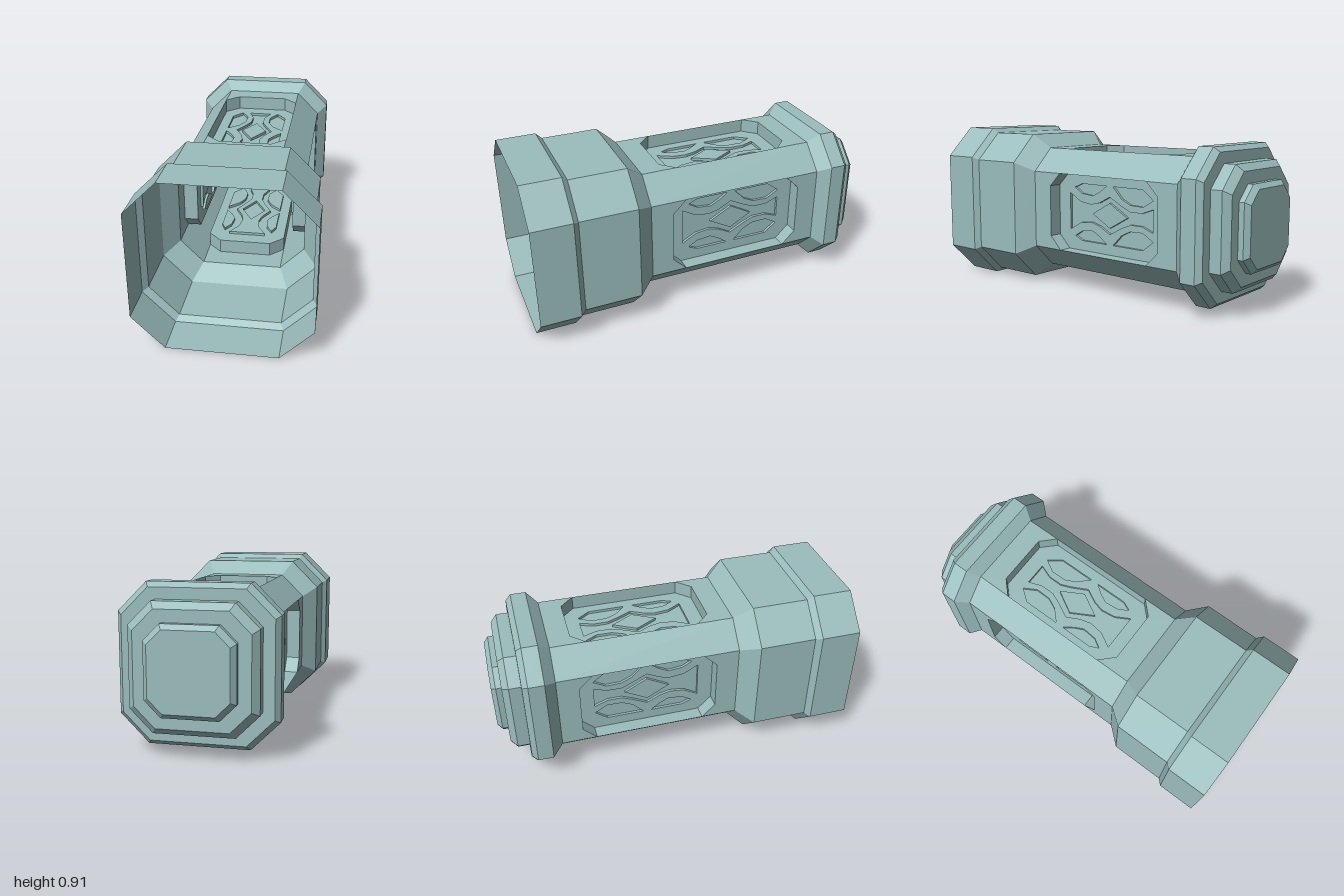
import * as THREE from 'three';

const CY = 0.455; // height of the long axis
const jade = new THREE.MeshStandardMaterial({ color: 0x9bbdbd, side: THREE.DoubleSide, flatShading: true });
jade.name = 'jade grey';

// Octagon corners: h = half size, f = half length of the straight sides
const octagon = (h, f) => [[f, h], [-f, h], [-h, f], [-h, -f], [-f, -h], [f, -h], [h, -f], [h, f]];

function quads(list) {
  const pos = [];
  for (const [a, b, c, d] of list) pos.push(...a, ...b, ...c, ...a, ...c, ...d);
  const g = new THREE.BufferGeometry();
  g.setAttribute('position', new THREE.Float32BufferAttribute(pos, 3));
  g.computeVertexNormals();
  return g;
}

// Skin between octagonal rings [z, h, f]; step 2 keeps only the bevelled corners
function loft(rings, first = 0, step = 1) {
  const list = [];
  for (let r = 0; r < rings.length - 1; r++) {
    const [z0, h0, f0] = rings[r], [z1, h1, f1] = rings[r + 1];
    const A = octagon(h0, f0), B = octagon(h1, f1);
    for (let i = first; i < 8; i += step) {
      const j = (i + 1) % 8;
      list.push([[...A[i], z0], [...A[j], z0], [...B[j], z1], [...B[i], z1]]);
    }
  }
  return quads(list);
}

const toShape = (pts) => new THREE.Shape(pts.map(([x, y]) => new THREE.Vector2(x, y)));

// Flat plate in the x-z plane at height y, facing up
function plate(pts, y, holes = []) {
  const s = toShape(pts);
  s.holes = holes.map(toShape);
  const g = new THREE.ShapeGeometry(s);
  g.rotateX(Math.PI / 2).translate(0, y, 0);
  const idx = g.index.array;
  for (let i = 0; i < idx.length; i += 3) [idx[i], idx[i + 1]] = [idx[i + 1], idx[i]];
  g.computeVertexNormals();
  return g;
}

// Upright walls along a closed x-z outline
const walls = (pts, y0, y1) => quads(pts.map(([x, z], i) => {
  const [u, v] = pts[(i + 1) % pts.length];
  return [[x, y0, z], [u, y0, v], [u, y1, v], [x, y1, z]];
}));

const mirrorX = (pts) => pts.map(([x, z]) => [-x, z]).reverse();

export function createModel() {
  const model = new THREE.Group();
  const add = (parent, name, geometry) => {
    const m = new THREE.Mesh(geometry, jade);
    m.name = name;
    parent.add(m);
    return m;
  };
  const body = new THREE.Group();
  body.name = 'body';
  body.position.y = CY;
  model.add(body);

  // Open flared mouth
  add(body, 'mouth', loft([
    [1, 0.455, 0.285], [0.78, 0.455, 0.285], [0.75, 0.428, 0.27],
    [0.435, 0.428, 0.27], [0.34, 0.35, 0.22]]));

  // Bevelled corners of the shaft
  add(body, 'shaftCorners', loft([[0.34, 0.35, 0.22], [-0.67, 0.35, 0.22]], 1, 2));

  // Stepped end cap
  add(body, 'endCap', loft([
    [-0.67, 0.35, 0.22], [-0.73, 0.405, 0.258], [-0.815, 0.405, 0.258], [-0.845, 0.38, 0.242],
    [-0.845, 0.322, 0.205], [-0.91, 0.322, 0.205], [-0.945, 0.288, 0.183],
    [-0.945, 0.225, 0.143], [-0.975, 0.225, 0.143], [-1, 0.2, 0.128]]));
  const endFace = new THREE.ShapeGeometry(toShape(octagon(0.2, 0.128)));
  endFace.rotateY(Math.PI).translate(0, 0, -1);
  add(body, 'endFace', endFace);
  const innerFloor = new THREE.ShapeGeometry(toShape(octagon(0.35, 0.22)));
  add(body, 'innerFloor', innerFloor.translate(0, 0, -0.67));

  // Outlines of the recessed window and its carved pattern (x, z)
  const W = 0.22, C = 0.145;
  const frame = [[W, 0.14], [C, 0.215], [-C, 0.215], [-W, 0.14], [-W, -0.475], [-C, -0.55], [C, -0.55], [W, -0.475]];
  const half = [[0.105, 0.13], [0.06, 0.05], [0.05, -0.03], [0.065, -0.09], [0.104, -0.165],
    [0.06, -0.25], [0.035, -0.31], [0.035, -0.39], [0.063, -0.465]];
  const hourglass = [...half, ...mirrorX(half)];
  const diamond = [[0, -0.04], [0.07, -0.165], [0, -0.29], [-0.07, -0.165]];
  const farLeaf = [[0.163, -0.188], [0.163, -0.395], [0.11, -0.465], [0.07, -0.395], [0.072, -0.31], [0.1, -0.25]];
  const nearLeaf = [[0.163, -0.143], [0.163, 0.04], [0.14, 0.093], [0.108, 0.04], [0.1, -0.04], [0.125, -0.09]];
  const leaves = [farLeaf, nearLeaf, mirrorX(farLeaf), mirrorX(nearLeaf)];
  const TOP = 0.35, FLOOR = 0.273, PIT = 0.258;

  // The same carved side on all four flats
  for (let k = 0; k < 4; k++) {
    const side = new THREE.Group();
    side.name = 'carvedSide' + (k + 1);
    side.rotation.z = k * Math.PI / 2;
    body.add(side);
    add(side, 'frontFlat', plate([[-W, 0.34], [W, 0.34], ...frame.slice(0, 4)], TOP));
    add(side, 'backFlat', plate([[W, -0.67], [-W, -0.67], ...frame.slice(4)], TOP));
    add(side, 'windowFrame', walls(frame, FLOOR, TOP));
    add(side, 'windowPanel', plate(frame, FLOOR, [hourglass, ...leaves]));
    for (const leaf of leaves) {
      add(side, 'leafWalls', walls(leaf, PIT, FLOOR));
      add(side, 'leafFloor', plate(leaf, PIT));
    }
    add(side, 'hourglassWalls', walls(hourglass, PIT, FLOOR));
    add(side, 'hourglassFloor', plate(hourglass, PIT, [diamond]));
    add(side, 'diamondWalls', walls(diamond, PIT, FLOOR));
    add(side, 'diamondTop', plate(diamond, FLOOR));
  }
  return model;
}
